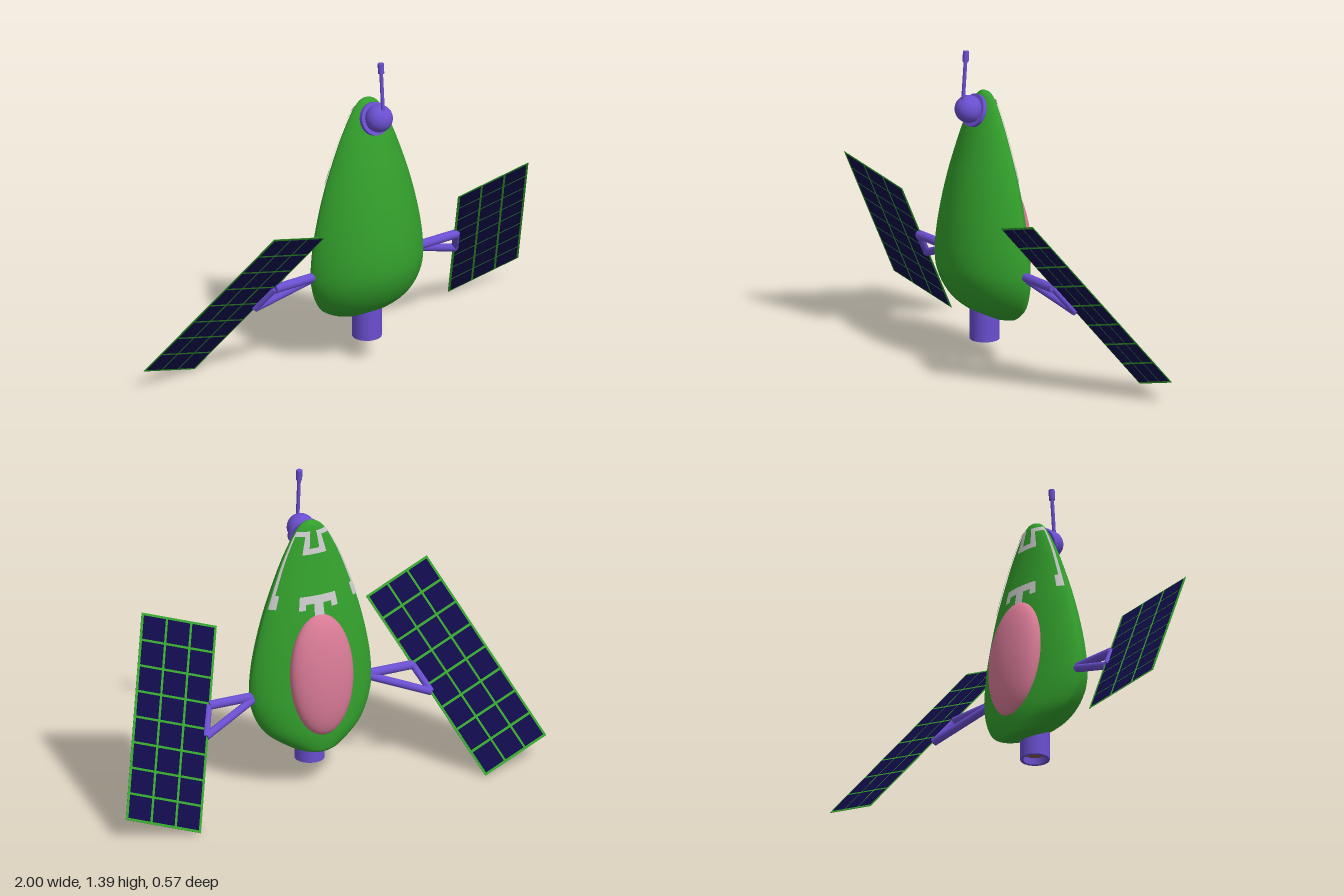
import * as THREE from 'three';

const mat = (color, side = THREE.FrontSide) => new THREE.MeshStandardMaterial({ color, side });
const V = (x, y, z) => new THREE.Vector3(x, y, z);

// Hull sections: height, half width, front z, back z, z of the side edge
const SECTIONS = [
  [1.21, 0, 0.04, 0.04, 0.04], [1.2, 0.032, 0.057, 0.02, 0.038], [1.17, 0.065, 0.072, 0.008, 0.036],
  [1.1, 0.107, 0.098, -0.004, 0.034], [1.0, 0.153, 0.13, -0.02, 0.032], [0.8, 0.224, 0.182, -0.055, 0.03],
  [0.6, 0.272, 0.217, -0.08, 0.03], [0.46, 0.287, 0.226, -0.093, 0.03], [0.38, 0.28, 0.21, -0.102, 0.028],
  [0.3, 0.248, 0.168, -0.108, 0.018], [0.25, 0.205, 0.12, -0.107, 0.0], [0.2, 0.125, 0.04, -0.1, -0.03],
  [0.18, 0.07, -0.015, -0.092, -0.055], [0.17, 0, -0.07, -0.07, -0.07],
];

// Smooth interpolation of the section table at height y
function section(y) {
  const S = SECTIONS, last = S.length - 1;
  let i = 0;
  while (i < last - 1 && y < S[i + 1][0]) i++;
  const h = S[i + 1][0] - S[i][0], t = (y - S[i][0]) / h;
  const slope = (n, k) => {
    const a = S[Math.max(n - 1, 0)], b = S[Math.min(n + 1, last)];
    return (b[k] - a[k]) / (b[0] - a[0]);
  };
  return [1, 2, 3, 4].map((k) => {
    const t2 = t * t, t3 = t2 * t;
    return (2 * t3 - 3 * t2 + 1) * S[i][k] + (t3 - 2 * t2 + t) * h * slope(i, k)
      + (3 * t2 - 2 * t3) * S[i + 1][k] + (t3 - t2) * h * slope(i + 1, k);
  });
}

// Egg-shaped hull with a lens-like cross-section
function hullGeometry(rows = 56, cols = 64) {
  const pos = [], idx = [];
  for (let i = 0; i <= rows; i++) {
    const y = 0.69 + 0.52 * Math.cos((i / rows) * Math.PI);
    const [w, zf, zb, zc] = section(y);
    for (let j = 0; j < cols; j++) {
      const a = (j / cols) * Math.PI * 2, s = Math.sin(a);
      pos.push(w * Math.cos(a), y, zc + ((s > 0 ? zf : zb) - zc) * Math.pow(Math.abs(s), 1.3));
      if (i === rows) continue;
      const p = i * cols + j, q = i * cols + ((j + 1) % cols);
      idx.push(p, q, p + cols, q, q + cols, p + cols);
    }
  }
  const g = new THREE.BufferGeometry();
  g.setAttribute('position', new THREE.Float32BufferAttribute(pos, 3));
  g.setIndex(idx);
  g.computeVertexNormals();
  return g;
}

// Rectangle (fraction of half width, height) draped on the back of the hull
function drapedPatch(u0, u1, y0, y1) {
  const g = new THREE.PlaneGeometry(1, 1, 10, 16), p = g.attributes.position;
  for (let i = 0; i < p.count; i++) {
    const u = u0 + (u1 - u0) * (p.getX(i) + 0.5), y = y0 + (y1 - y0) * (p.getY(i) + 0.5);
    const [w, , zb, zc] = section(y);
    p.setXYZ(i, u * (w + 0.004), y, zc + (zb - zc) * Math.pow(1 - u * u, 0.65) - 0.004);
  }
  g.computeVertexNormals();
  return g;
}

export function createModel() {
  const model = new THREE.Group();
  const green = mat(0x33a02c), purple = mat(0x6a4fd0), pink = mat(0xd87a96);
  const navy = mat(0x100b48), grey = mat(0xcccccc, THREE.DoubleSide);

  const add = (name, geometry, material, parent = model) => {
    const m = new THREE.Mesh(geometry, material);
    m.name = name;
    parent.add(m);
    return m;
  };
  const rod = (name, a, b, r, parent = model) => {
    const m = add(name, new THREE.CylinderGeometry(r, r, a.distanceTo(b), 20), purple, parent);
    m.position.copy(a).add(b).multiplyScalar(0.5);
    m.quaternion.setFromUnitVectors(V(0, 1, 0), b.clone().sub(a).normalize());
    return m;
  };

  add('hull', hullGeometry(), green);

  // Canopy bulging from the back
  const canopy = add('canopy', new THREE.SphereGeometry(1, 48, 32), pink);
  canopy.scale.set(0.147, 0.272, 0.07);
  canopy.position.set(0, 0.533, -0.077);
  canopy.rotation.x = 0.085;

  // Grey trim on the back
  const trim = new THREE.Group();
  trim.name = 'trim';
  model.add(trim);
  for (const s of [-1, 1]) {
    const patch = (u0, u1, y0, y1) => add('trimStrip', drapedPatch(s * u0, s * u1, y0, y1), grey, trim);
    patch(0.92, 0.975, 0.84, 1.17);
    patch(0.85, 0.92, 0.84, 0.9);
    patch(0.2, 0.92, 1.15, 1.17);
    patch(0.2, 0.45, 1.07, 1.15);
    patch(0, 0.2, 1.07, 1.095);
    patch(0, 0.42, 0.855, 0.89);
    patch(0.28, 0.42, 0.83, 0.855);
    patch(0, 0.1, 0.78, 0.855);
  }

  // Hollow nozzle below
  const profile = [[0.055, 0.13], [0.05, 0.1], [0.0635, 0.1], [0.0635, 0.3]];
  profile[0][0] = 0.05;
  const nozzle = add('nozzle', new THREE.LatheGeometry(
    profile.map(([x, y]) => new THREE.Vector2(x, y)), 32), mat(0x6a4fd0, THREE.DoubleSide));
  nozzle.geometry = nozzle.geometry.toNonIndexed();
  nozzle.geometry.computeVertexNormals();
  nozzle.position.z = 0.04;
  const core = add('nozzleCore', new THREE.CircleGeometry(0.05, 32), mat(0x8a5a50));
  core.rotation.x = Math.PI / 2;
  core.position.set(0, 0.13, 0.04);

  // Sensor ball on its tilted collar, with antenna
  const collar = add('sensorCollar', new THREE.CylinderGeometry(0.072, 0.072, 0.018, 36), purple);
  collar.position.set(0, 1.128, 0.096);
  collar.rotation.x = Math.PI / 2 - 0.37;
  add('sensorBall', new THREE.SphereGeometry(0.06, 32, 24), purple).position.set(0, 1.14, 0.125);
  rod('antenna', V(0, 1.16, 0.156), V(0, 1.37, 0.14), 0.008);
  rod('antennaTip', V(0, 1.355, 0.141), V(0, 1.4, 0.138), 0.0135);

  // Solar wings with their struts
  for (const s of [-1, 1]) {
    const wing = new THREE.Group();
    wing.name = s > 0 ? 'leftWing' : 'rightWing';
    model.add(wing);
    const top = V(s * 0.485, 0.44, 0.03), low = V(s * 0.535, 0.335, -0.047);
    rod('upperStrut', V(s * 0.25, 0.44, 0.03), top, 0.02, wing);
    rod('lowerStrut', V(s * 0.25, 0.44, 0.03), low, 0.017, wing);
    rod('crossStrut', top, low, 0.015, wing);

    const panel = new THREE.Group();
    panel.name = 'solarPanel';
    const u = V(s * 0.325, 0.1, 0.07).normalize(), v = V(s * -0.32, 0.705, 0.5).normalize();
    panel.quaternion.setFromRotationMatrix(new THREE.Matrix4().makeBasis(u, v, u.clone().cross(v)));
    panel.position.set(s * 0.6775, 0.4085, 0);
    wing.add(panel);
    const W = 0.345, H = 0.922, gap = 0.011;
    add('panelFrame', new THREE.BoxGeometry(W, H, 0.002), green, panel);
    const cw = (W - gap) / 3, ch = (H - gap) / 8;
    for (let i = 0; i < 3; i++) for (let j = 0; j < 8; j++) {
      add('solarCell', new THREE.BoxGeometry(cw - gap, ch - gap, 0.005), navy, panel)
        .position.set((i - 1) * cw, (j - 3.5) * ch, 0);
    }
  }
  return model;
}
